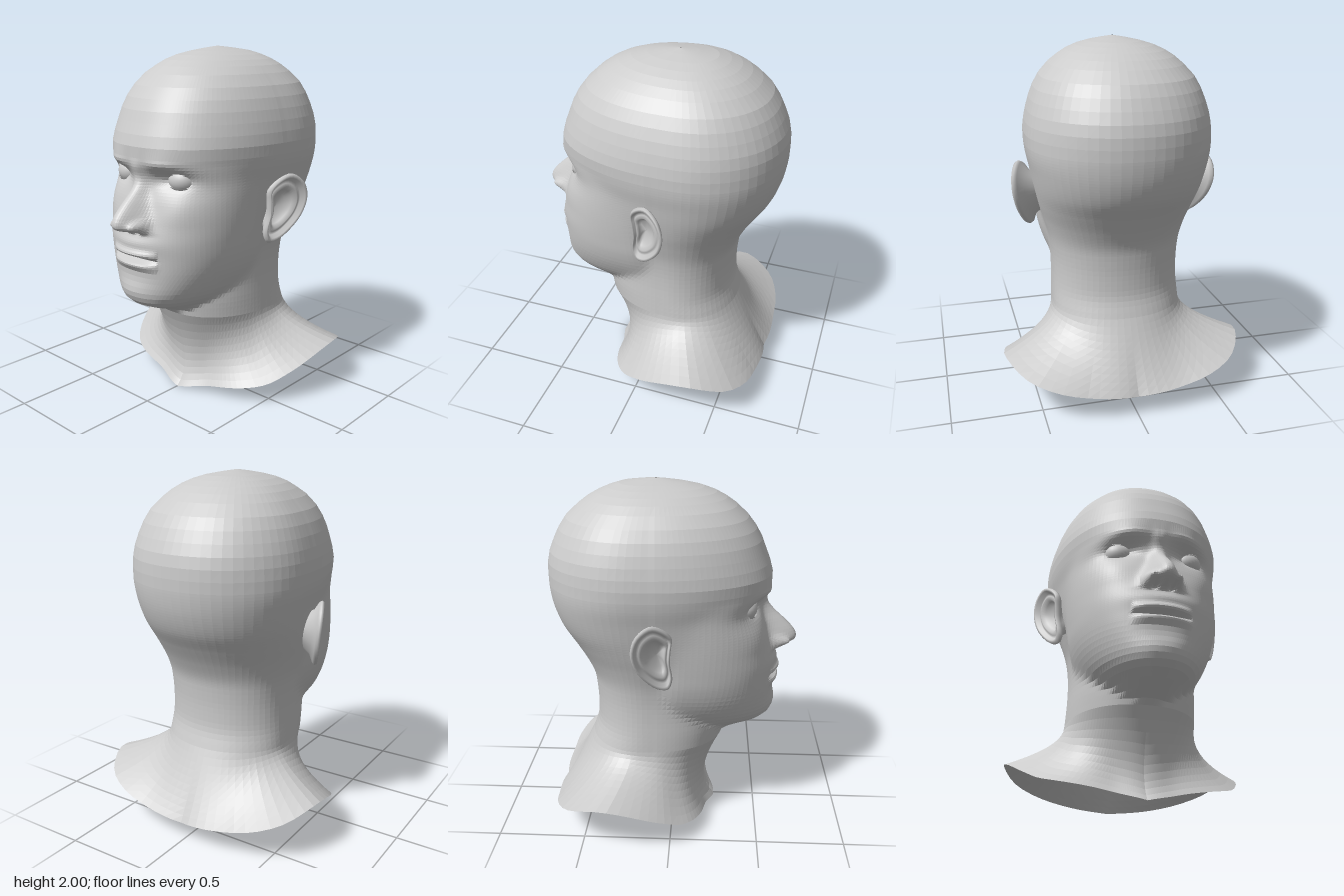
import * as THREE from 'three';

const skin = new THREE.MeshStandardMaterial({ color: 0xcccccc, flatShading: true, side: THREE.DoubleSide });
const smoothSkin = new THREE.MeshStandardMaterial({ color: 0xcccccc, side: THREE.DoubleSide });
const AXIS = -0.1; // z of the vertical axis that all rings go round

// Skull and neck sections: y, front z, back z, half width
const SKULL = [
  [0.5, 0.29, -0.49, 0.37], [0.6, 0.31, -0.46, 0.365], [0.7, 0.32, -0.455, 0.362], [0.8, 0.33, -0.46, 0.365],
  [0.9, 0.35, -0.475, 0.378], [1.0, 0.42, -0.52, 0.405], [1.1, 0.46, -0.58, 0.435], [1.2, 0.48, -0.645, 0.46],
  [1.3, 0.49, -0.685, 0.48], [1.4, 0.52, -0.705, 0.5], [1.5, 0.55, -0.71, 0.505], [1.6, 0.52, -0.7, 0.49],
  [1.7, 0.48, -0.66, 0.46], [1.8, 0.41, -0.6, 0.41], [1.9, 0.29, -0.48, 0.31], [1.95, 0.18, -0.38, 0.22],
  [1.98, 0.05, -0.28, 0.12], [2, -0.095, -0.105, 0.005],
];
// Face and jaw sections: y, front z, half width
const FACE = [
  [0.5, 0.22, 0.1], [0.53, 0.32, 0.14], [0.56, 0.4, 0.18], [0.6, 0.5, 0.22], [0.62, 0.54, 0.25], [0.65, 0.572, 0.28],
  [0.7, 0.583, 0.32], [0.8, 0.585, 0.37], [0.9, 0.585, 0.4], [1.0, 0.585, 0.415], [1.1, 0.56, 0.425],
  [1.2, 0.53, 0.43], [1.3, 0.5, 0.43], [1.4, 0.53, 0.42], [1.5, 0.53, 0.4], [1.6, 0.48, 0.33],
];
// Nose: y, height above the face, half width
const NOSE = [
  [1.02, 0, 0.09], [1.035, 0.005, 0.095], [1.05, 0.04, 0.095], [1.06, 0.085, 0.09], [1.08, 0.135, 0.085],
  [1.11, 0.152, 0.08], [1.15, 0.143, 0.072], [1.2, 0.11, 0.06], [1.25, 0.072, 0.05], [1.33, 0.022, 0.045],
  [1.4, 0.015, 0.04], [1.46, 0, 0.04],
];
// Cut edge at the shoulders: x, z, y, then radius and y of the curve handle
const EDGE = [
  [0, 0.25, 0.005, 0.2, 0.15], [0.2, 0.2, 0.055, 0.24, 0.2], [0.52, 0.08, 0.125, 0.33, 0.28],
  [0.61, -0.05, 0.19, 0.36, 0.34], [0.67, -0.24, 0.27, 0.38, 0.38], [0.68, -0.39, 0.3, 0.4, 0.4],
  [0.58, -0.58, 0.24, 0.43, 0.38], [0.43, -0.66, 0.19, 0.45, 0.34], [0.25, -0.685, 0.15, 0.47, 0.31], [0, -0.68, 0.12, 0.48, 0.3],
].map(([x, z, y, r, h]) => [Math.atan2(x, z - AXIS), Math.hypot(x, z - AXIS), y, r, h]);

// Smooth interpolation of column k in a table keyed by its first column
function sample(table, t, k) {
  const last = table.length - 1;
  if (t <= table[0][0]) return table[0][k];
  if (t >= table[last][0]) return table[last][k];
  let i = 0;
  while (t > table[i + 1][0]) i++;
  const slope = (j) => {
    const a = table[Math.max(0, j - 1)], b = table[Math.min(last, j + 1)];
    return (b[k] - a[k]) / (b[0] - a[0]);
  };
  const h = table[i + 1][0] - table[i][0], s = (t - table[i][0]) / h, q = s * s, c = q * s;
  return (2 * c - 3 * q + 1) * table[i][k] + (c - 2 * q + s) * h * slope(i)
    + (3 * q - 2 * c) * table[i + 1][k] + (c - q) * h * slope(i + 1);
}

// Distance from the axis to an egg-shaped section in direction a
function eggRadius(a, mid, front, back, width, n) {
  let lo = 0, hi = 1.2;
  for (let i = 0; i < 26; i++) {
    const r = (lo + hi) / 2, x = Math.abs(r * Math.sin(a)), d = AXIS + r * Math.cos(a) - mid;
    const depth = d > 0 ? front - mid : mid - back;
    if ((x / width) ** n + (Math.abs(d) / depth) ** n < 1) lo = r; else hi = r;
  }
  return lo;
}

function headRadius(a, y) {
  const [f, b, w] = [1, 2, 3].map((k) => sample(SKULL, y, k));
  const skull = eggRadius(a, f * 0.4 + b * 0.6, f, b, w, Math.cos(a) > 0 && y < 1.9 ? 2.25 : 2.1);
  if (y > 1.6) return skull;
  const face = eggRadius(a, 0.08, sample(FACE, y, 1), -0.22, sample(FACE, y, 2), 2.25);
  return Math.max(skull, face) * (1 + (Math.min(skull, face) / Math.max(skull, face)) ** 40) ** (1 / 40);
}

const bump = (dx, sx, dy, sy) => Math.exp(-((dx / sx) ** 2) - (dy / sy) ** 2);

// Forward relief of nose, eyes, cheeks, mouth and chin
function relief(x, y) {
  const ax = Math.abs(x);
  let d = sample(NOSE, y, 1) * Math.exp(-((ax / sample(NOSE, y, 2)) ** 2.4));
  d += 0.05 * bump(ax - 0.085, 0.025, y - 1.09, 0.03);    // nostril wings
  d -= 0.05 * bump(ax - 0.045, 0.02, y - 1.055, 0.012);   // nostrils
  d -= 0.05 * bump(ax - 0.19, 0.09, y - 1.33, 0.045);     // eye sockets
  d += 0.022 * bump(ax - 0.16, 0.11, y - 1.415, 0.035);   // brows
  d += 0.015 * bump(ax - 0.27, 0.1, y - 1.17, 0.09);      // cheekbones
  d += 0.016 * bump(x, 0.13, y - 0.985, 0.04);            // upper lip base
  d += 0.014 * bump(x, 0.13, y - 0.71, 0.05);             // chin
  const mouth = Math.max(0, 1 - (x / 0.17) ** 2) ** 0.6;
  d += mouth * (0.03 * bump(0, 1, y - 0.93, 0.022) + 0.028 * bump(0, 1, y - 0.868, 0.024) - 0.03 * bump(0, 1, y - 0.9, 0.011));
  return d;
}

// Surface through rings of points, closed around each ring
function loft(rings) {
  const n = rings[0].length, index = [];
  for (let i = 0; i < rings.length - 1; i++) {
    for (let j = 0; j < n; j++) {
      const a = i * n + j, b = i * n + (j + 1) % n;
      index.push(a, b, b + n, a, b + n, a + n);
    }
  }
  const g = new THREE.BufferGeometry();
  g.setAttribute('position', new THREE.Float32BufferAttribute(rings.flat(2), 3));
  g.setIndex(index);
  g.computeVertexNormals();
  return g;
}

function headGeometry() {
  const cols = 120, angles = [];
  for (let j = 0; j < cols; j++) { // columns crowd together at the face
    const u = (j / cols) * 2 * Math.PI - Math.PI;
    angles.push(u - 0.75 * Math.sin(u));
  }
  const place = (a, r, y) => [r * Math.sin(a), y, AXIS + r * Math.cos(a)];
  const rings = [];
  // Neck base flaring to the cut edge
  for (let i = 0; i < 10; i++) {
    const t = i / 10, s = 1 - t;
    rings.push(angles.map((a) => {
      const [r, y, hr, hy] = [1, 2, 3, 4].map((k) => sample(EDGE, Math.abs(a), k));
      return place(a, s * s * r + 2 * s * t * hr + t * t * headRadius(a, 0.5), s * s * y + 2 * s * t * hy + t * t * 0.5);
    }));
  }
  // Neck, face and skull, with closer rows at the face
  const levels = [];
  for (const [from, to, step] of [[0.5, 0.86, 0.03], [0.86, 1.0, 0.01], [1.0, 1.12, 0.008], [1.12, 1.44, 0.016], [1.44, 1.86, 0.06]]) {
    for (let y = from; y < to - 1e-6; y += step) levels.push(y);
  }
  levels.push(1.86, 1.9, 1.93, 1.955, 1.975, 1.99, 2);
  for (const y of levels) {
    rings.push(angles.map((a) => {
      const p = place(a, headRadius(a, y), y);
      if (p[2] > 0.15 && y < 1.6) p[2] += relief(p[0], y);
      return p;
    }));
  }
  return loft(rings);
}

// Ear: an outline shrunk inward through rim, fold and hollow
function earGeometry() {
  const outline = new THREE.CatmullRomCurve3([
    [0.01, 1.25], [-0.04, 1.31], [-0.1, 1.335], [-0.17, 1.29], [-0.2, 1.2], [-0.18, 1.1],
    [-0.13, 1.02], [-0.06, 0.955], [-0.01, 0.945], [0.012, 1.0], [0, 1.1], [0.005, 1.18],
  ].map(([z, y]) => new THREE.Vector3(0, y, z)), true).getPoints(40).slice(0, 40);
  const steps = [[0.5, -0.09], [0.7, -0.03], [0.95, -0.005], [1, 0.01], [0.96, 0.025], [0.87, 0.024], [0.79, 0.002],
    [0.7, 0.004], [0.6, 0.012], [0.5, -0.008], [0.35, -0.03], [0.02, -0.035]];
  return loft(steps.map(([s, h]) => outline.map((p) => {
    const z = -0.07 + (p.z + 0.07) * s, y = 1.15 + (p.y - 1.15) * s;
    return [0.455 - 0.5 * z + 0.1 * (y - 1.1) + h, y, z];
  })));
}

export function createModel() {
  const model = new THREE.Group();
  const add = (parent, name, geometry, material) => {
    const mesh = new THREE.Mesh(geometry, material);
    mesh.name = name;
    parent.add(mesh);
    return mesh;
  };
  add(model, 'headAndNeck', headGeometry(), skin);

  const ear = earGeometry();
  for (const side of [1, -1]) {
    const label = side > 0 ? 'left' : 'right';
    add(model, label + 'Ear', ear, smoothSkin).scale.x = side;

    // Eyeball between two lid shells
    const eye = new THREE.Group();
    eye.name = label + 'Eye';
    eye.position.set(side * 0.197, 1.327, 0.378);
    eye.rotation.y = side * 0.2;
    eye.scale.y = 0.85;
    add(eye, 'eyeball', new THREE.SphereGeometry(0.088, 28, 20), smoothSkin);
    add(eye, 'upperLid', new THREE.SphereGeometry(0.095, 28, 8, 0, 2 * Math.PI, 0, 1.13), smoothSkin);
    add(eye, 'lowerLid', new THREE.SphereGeometry(0.094, 28, 8, 0, 2 * Math.PI, 2.0, Math.PI - 2.0), smoothSkin);
    model.add(eye);
  }
  return model;
}
